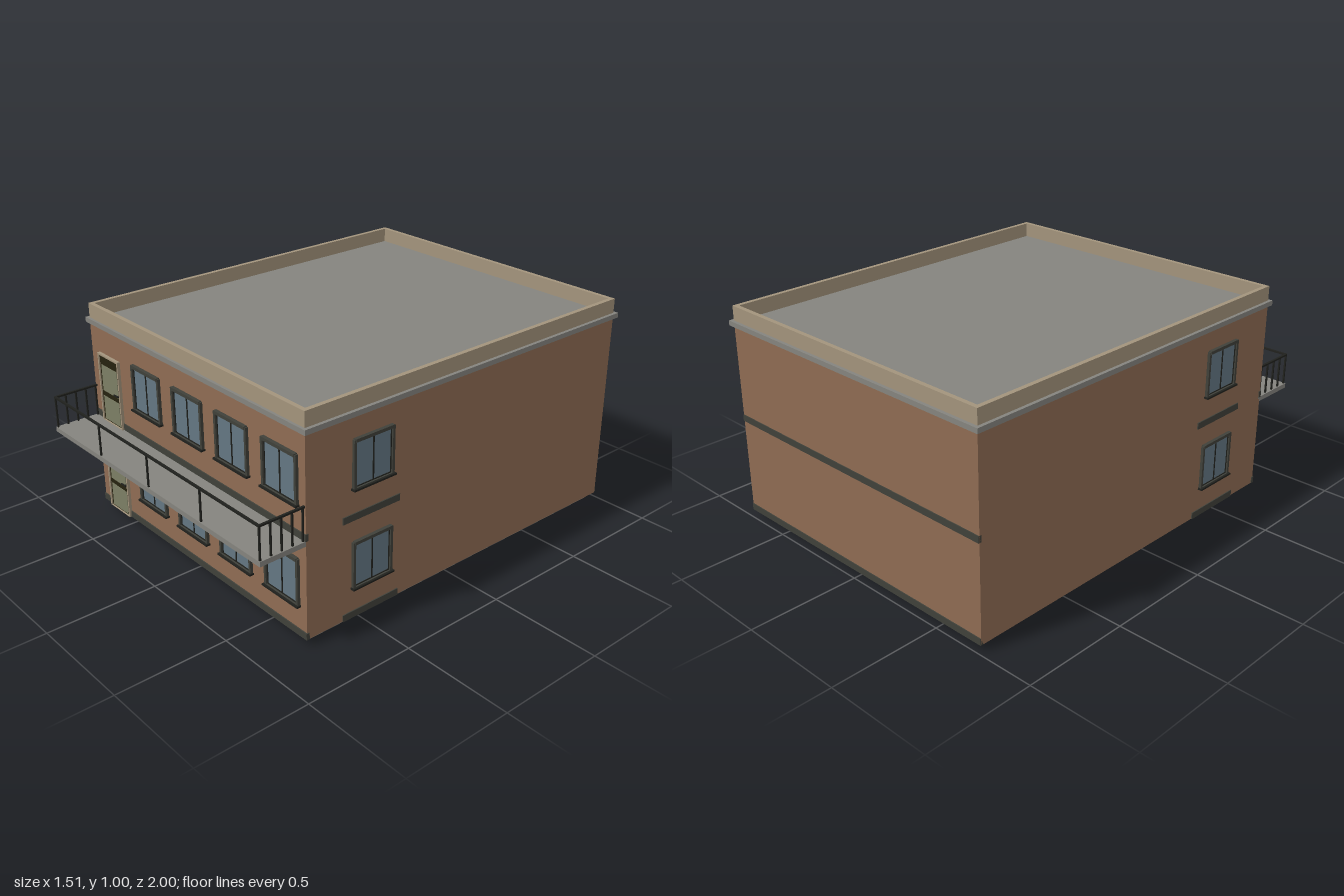
import * as THREE from 'three';

const mat = (name, color) => {
  const m = new THREE.MeshStandardMaterial({ color });
  m.name = name;
  return m;
};

export function createModel() {
  const M = {
    brick: mat('brick', 0x8f6c53),
    stone: mat('grey stone', 0x85847e),
    tan: mat('tan plaster', 0xa3947c),
    trim: mat('dark trim', 0x40413a),
    glass: mat('window glass', 0x647783),
    door: mat('door wood', 0x26220f),
    pane: mat('door glass', 0x7d7f65),
    rail: mat('railing metal', 0x20211d),
  };
  const model = new THREE.Group();
  model.name = 'building';

  const XW = 0.735, ZF = 0.785, ZB = -0.985; // wall faces

  // Box from its min and max corners
  function box(parent, name, m, x0, x1, y0, y1, z0, z1) {
    const mesh = new THREE.Mesh(new THREE.BoxGeometry(x1 - x0, y1 - y0, z1 - z0), m);
    mesh.position.set((x0 + x1) / 2, (y0 + y1) / 2, (z0 + z1) / 2);
    mesh.name = name;
    parent.add(mesh);
    return mesh;
  }
  // Rectangular frame in the xy plane, from z = 0 to depth
  function frame(parent, name, m, x0, x1, y0, y1, t, depth, tBottom = t) {
    const s = new THREE.Shape();
    s.moveTo(x0, y0).lineTo(x1, y0).lineTo(x1, y1).lineTo(x0, y1).closePath();
    const h = new THREE.Path();
    h.moveTo(x0 + t, y0 + tBottom).lineTo(x0 + t, y1 - t).lineTo(x1 - t, y1 - t).lineTo(x1 - t, y0 + tBottom).closePath();
    s.holes.push(h);
    const mesh = new THREE.Mesh(new THREE.ExtrudeGeometry(s, { depth, bevelEnabled: false }), m);
    mesh.name = name;
    parent.add(mesh);
    return mesh;
  }

  // Main masses
  box(model, 'foundation', M.stone, -0.705, 0.705, 0, 0.03, -0.955, 0.755);
  box(model, 'walls', M.brick, -XW, XW, 0.03, 0.912, ZB, ZF);
  box(model, 'cornice', M.stone, -0.75, 0.75, 0.912, 0.934, -1, 0.797);

  // Parapet ring standing on the cornice, open over the roof deck
  const parapet = frame(model, 'parapet', M.tan, -XW, XW, -ZF, -ZB, 0.02, 0.066);
  parapet.rotation.x = -Math.PI / 2;
  parapet.position.y = 0.934;

  // Dark bands at each floor line: front, back and short ones on the sides
  for (const y of [0.03, 0.47]) {
    box(model, 'frontBand', M.trim, -0.738, 0.738, y, y + 0.03, ZF - 0.01, ZF + 0.005);
    box(model, 'backBand', M.trim, -XW, XW, y, y + 0.03, ZB - 0.004, ZB + 0.01);
    for (const s of [-1, 1]) {
      const b = box(model, 'sideBand', M.trim, -0.005, 0.005, y, y + 0.03, 0.31, 0.606);
      b.position.x = s * XW;
    }
  }

  // Two-sash window facing +z, centred on x, with its foot at y = 0
  function makeWindow() {
    const g = new THREE.Group();
    g.name = 'window';
    box(g, 'glass', M.glass, -0.098, 0.098, 0.006, 0.2, -0.005, 0.003);
    frame(g, 'windowFrame', M.trim, -0.104, 0.104, 0, 0.21, 0.012, 0.013, 0.008);
    frame(g, 'innerFrame', M.rail, -0.092, 0.092, 0.008, 0.198, 0.004, 0.006);
    box(g, 'mullion', M.rail, -0.003, 0.003, 0.008, 0.198, 0, 0.006);
    box(g, 'lintel', M.trim, -0.098, 0.098, 0.2, 0.214, 0, 0.016);
    box(g, 'sill', M.rail, -0.109, 0.109, -0.002, 0.006, 0, 0.021);
    return g;
  }
  for (const y of [0.165, 0.605]) {
    for (const x of [-0.3, 0, 0.296, 0.592]) {
      const w = makeWindow();
      w.position.set(x, y, ZF);
      model.add(w);
    }
    for (const s of [-1, 1]) {
      const w = makeWindow();
      w.position.set(s * XW, y, 0.455);
      w.rotation.y = s * Math.PI / 2;
      model.add(w);
    }
  }

  // Glazed door with a tan surround and lever handle
  function makeDoor() {
    const g = new THREE.Group();
    g.name = 'door';
    box(g, 'doorLeaf', M.door, -0.075, 0.075, 0, 0.316, -0.005, 0.008);
    frame(g, 'doorSurround', M.tan, -0.081, 0.081, 0, 0.322, 0.008, 0.014, 0.003);
    box(g, 'upperPane', M.pane, -0.062, 0.062, 0.146, 0.27, 0.004, 0.01);
    box(g, 'lowerPane', M.pane, -0.062, 0.062, 0.008, 0.121, 0.004, 0.01);
    box(g, 'handle', M.rail, 0.036, 0.07, 0.154, 0.16, 0.014, 0.019);
    box(g, 'handleStem', M.rail, 0.062, 0.07, 0.153, 0.161, 0.006, 0.016);
    return g;
  }
  for (const y of [0.03, 0.47]) {
    const d = makeDoor();
    d.position.set(-0.59, y, ZF);
    model.add(d);
  }

  // Balcony slab and railing
  const balcony = new THREE.Group();
  balcony.name = 'balcony';
  model.add(balcony);
  box(balcony, 'balconySlab', M.stone, -XW, XW, 0.448, 0.47, ZF - 0.01, 1);
  const r = 0.0035, top = 0.614, zr = 0.993, xr = 0.727;
  const post = (x, z) => box(balcony, 'railPost', M.rail, x - r, x + r, 0.468, top, z - r, z + r);
  box(balcony, 'frontRail', M.rail, -xr - r, xr + r, top - 0.004, top + 0.004, zr - 0.005, zr + 0.005);
  for (const x of [-0.363, 0, 0.363]) post(x, zr);
  for (const s of [-1, 1]) {
    const rail = box(balcony, 'sideRail', M.rail, -0.005, 0.005, top - 0.004, top + 0.004, ZF, zr);
    rail.position.x = s * xr;
    for (let i = 0; i < 5; i++) post(s * xr, zr - i * 0.05);
  }
  return model;
}
